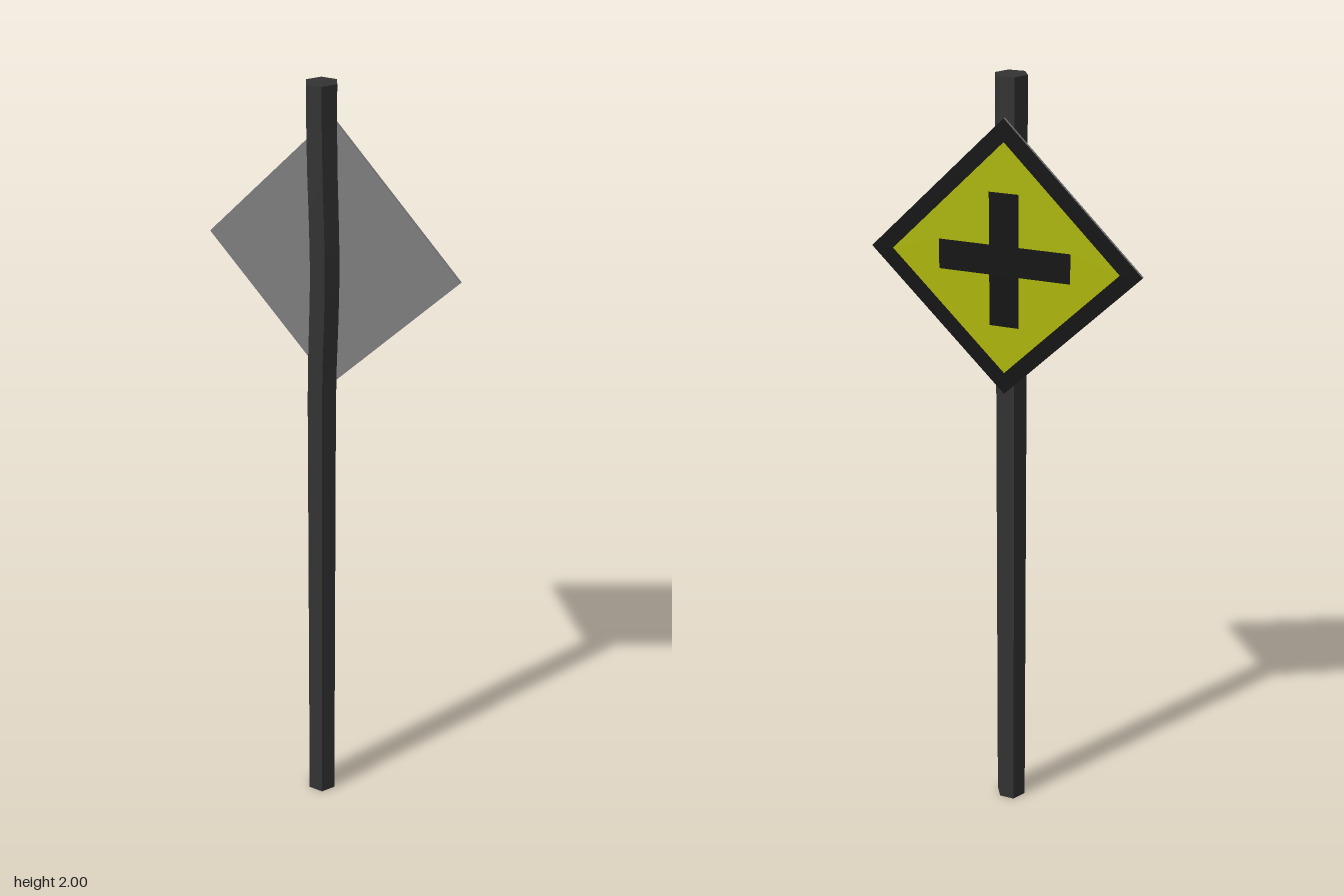
import * as THREE from 'three';

const material = (color, flatShading = false) =>
  new THREE.MeshStandardMaterial({ color, flatShading });

// Closed outline from [x, y] pairs
const points = (list) => list.map(([x, y]) => new THREE.Vector2(x, y));
const diamond = (r) => points([[r, 0], [0, r], [-r, 0], [0, -r]]);

function cross(arm, half) {
  return points([
    [arm, -half], [arm, half], [half, half], [half, arm], [-half, arm], [-half, half],
    [-arm, half], [-arm, -half], [-half, -half], [-half, -arm], [half, -arm], [half, -half],
  ]);
}

function panel(outline, hole) {
  const shape = new THREE.Shape(outline);
  if (hole) shape.holes.push(new THREE.Path(hole));
  return shape;
}

export function createModel() {
  const model = new THREE.Group();
  const add = (name, geometry, mat, parent = model) => {
    const mesh = new THREE.Mesh(geometry, mat);
    mesh.name = name;
    parent.add(mesh);
    return mesh;
  };

  // Six-sided post with a slight sideways bend behind the sign
  const post = new THREE.CylinderGeometry(0.04, 0.04, 2, 6, 20, false, Math.PI / 2);
  post.translate(0, 1, 0.007);
  const pos = post.attributes.position;
  for (let i = 0; i < pos.count; i++) {
    const t = (pos.getY(i) - 1.2) / 0.7;
    if (t > 0 && t < 1) pos.setX(i, pos.getX(i) + 0.008 * Math.sin(Math.PI * t) ** 2);
  }
  post.computeVertexNormals();
  add('post', post, material(0x343434, true));

  // Diamond sign, its printed side turned to -z
  const sign = new THREE.Group();
  sign.name = 'sign';
  sign.position.set(0, 1.57, -0.036);
  sign.rotation.y = Math.PI;
  model.add(sign);

  const R = 0.34, INNER = 0.285, THICK = 0.008;
  const plate = new THREE.ExtrudeGeometry(panel(diamond(R)), { depth: THICK - 0.0006, bevelEnabled: false });
  add('signPlate', plate, material(0x808080), sign);

  // Flush face pieces: border, field and crossing symbol
  const black = material(0x151515);
  const symbol = cross(0.165, 0.037);
  const face = [
    ['signBorder', panel(diamond(R), diamond(INNER)), black],
    ['signField', panel(diamond(INNER), symbol), material(0xb4be0c)],
    ['crossSymbol', panel(symbol), black],
  ];
  for (const [name, shape, mat] of face) {
    add(name, new THREE.ShapeGeometry(shape), mat, sign).position.z = THICK;
  }

  return model;
}
